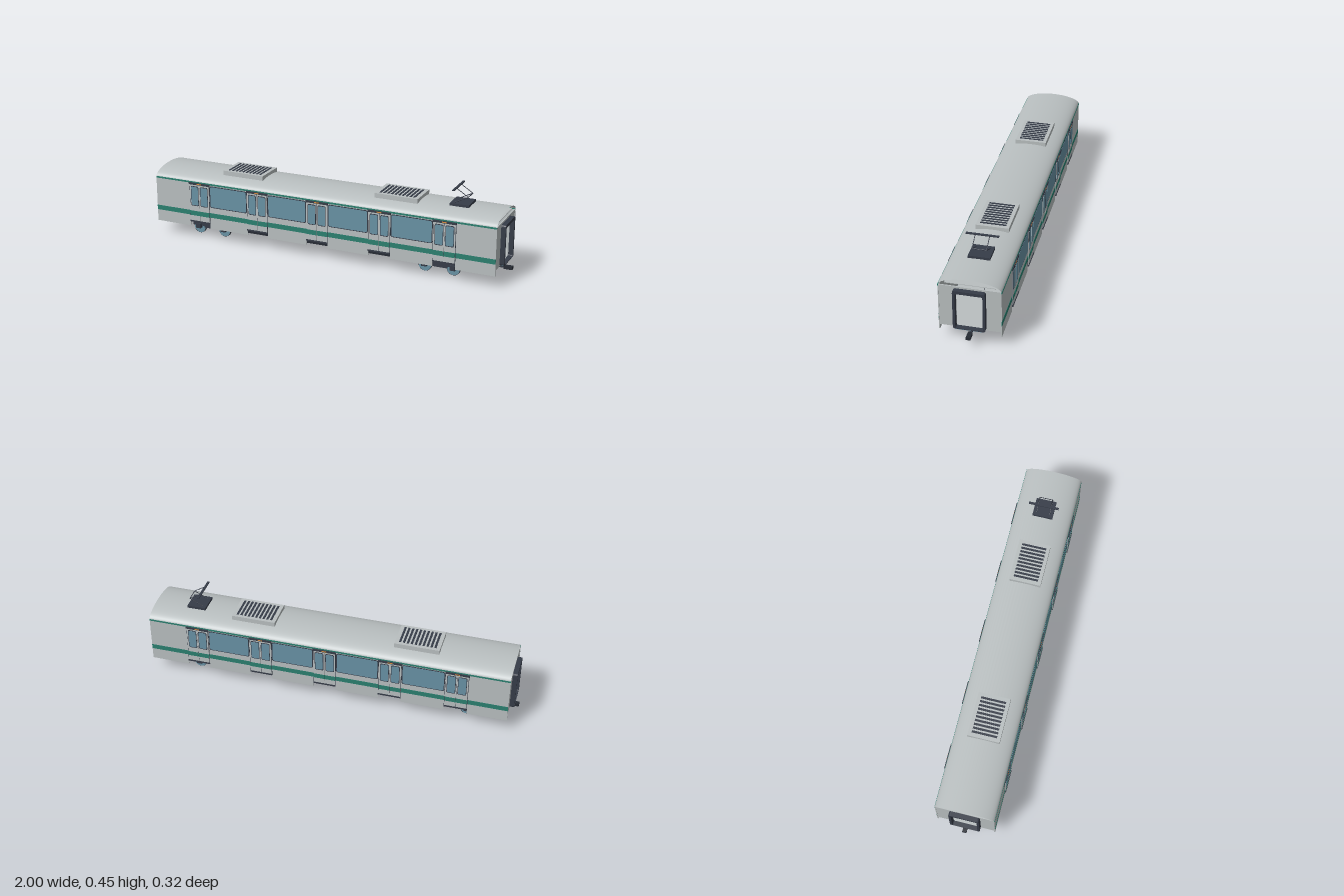
import * as THREE from 'three';

const mat = (name, color, side = THREE.FrontSide) => {
  const m = new THREE.MeshStandardMaterial({ color, side });
  m.name = name;
  return m;
};

// Rounded rectangle outline given by its corners
function roundRect(x0, y0, x1, y1, r, path = new THREE.Shape()) {
  path.moveTo(x0 + r, y0);
  path.lineTo(x1 - r, y0);
  path.quadraticCurveTo(x1, y0, x1, y0 + r);
  path.lineTo(x1, y1 - r);
  path.quadraticCurveTo(x1, y1, x1 - r, y1);
  path.lineTo(x0 + r, y1);
  path.quadraticCurveTo(x0, y1, x0, y1 - r);
  path.lineTo(x0, y0 + r);
  path.quadraticCurveTo(x0, y0, x0 + r, y0);
  return path;
}

export function createModel() {
  const car = new THREE.Group();
  car.name = 'railCar';
  const silver = mat('silver body', 0xb9bfc0);
  const silverShell = mat('silver roof shell', 0xb9bfc0, THREE.DoubleSide);
  const green = mat('green stripe', 0x2b8070);
  const glass = mat('blue glass', 0x6892a5);
  const dark = mat('dark trim', 0x363c48);
  const black = mat('black underframe', 0x262b34);
  const orange = mat('orange lamp', 0xd98f3c);

  const add = (name, geometry, material, parent = car) => {
    const mesh = new THREE.Mesh(geometry, material);
    mesh.name = name;
    parent.add(mesh);
    return mesh;
  };
  // Box given by its extents
  const box = (name, m, x0, x1, y0, y1, z0, z1, parent) => {
    const mesh = add(name, new THREE.BoxGeometry(x1 - x0, y1 - y0, z1 - z0), m, parent);
    mesh.position.set((x0 + x1) / 2, (y0 + y1) / 2, (z0 + z1) / 2);
    return mesh;
  };
  // Plate facing outward on side s, from depth z0 to z1
  const plate = (name, shape, m, s, z0, z1) => {
    const g = new THREE.ExtrudeGeometry(shape, { depth: z1 - z0, bevelEnabled: false, curveSegments: 4 });
    add(name, g, m).position.z = s > 0 ? z0 : -z1;
  };
  const sideBox = (name, m, s, x0, x1, y0, y1, z0, z1) =>
    box(name, m, x0, x1, y0, y1, s > 0 ? z0 : -z1, s > 0 ? z1 : -z0);
  // Round bar between two points
  const bar = (name, a, b, r, m) => {
    const p = new THREE.Vector3(...a), q = new THREE.Vector3(...b);
    const mesh = add(name, new THREE.CylinderGeometry(r, r, p.distanceTo(q), 8), m);
    mesh.position.copy(p).add(q).multiplyScalar(0.5);
    mesh.quaternion.setFromUnitVectors(new THREE.Vector3(0, 1, 0), q.sub(p).normalize());
  };

  const X0 = -0.962, X1 = 0.956;
  const doors = [-0.695, -0.349, -0.003, 0.343, 0.69];

  // Curved roof, an open shell
  const arc = (t) => [0.315 + 0.047 * Math.sin(t), 0.153 * Math.cos(t)];
  const roof = new THREE.PlaneGeometry(1, 1, 1, 28);
  const p = roof.attributes.position;
  for (let i = 0; i < p.count; i++) {
    const [y, z] = arc((p.getY(i) + 0.5) * Math.PI);
    p.setXYZ(i, p.getX(i) < 0 ? X0 : X1, y, z);
  }
  roof.computeVertexNormals();
  add('roof', roof, silverShell);

  // Floor, ceiling, ceiling lamps and aisle poles
  box('floor', silver, X0 + 0.003, X1 - 0.003, 0.09, 0.098, -0.148, 0.148);
  box('ceiling', silver, X0 + 0.01, X1 - 0.01, 0.326, 0.329, -0.122, 0.122);
  for (const z of [-0.06, 0.06]) box('ceilingLamp', silver, -0.9, 0.9, 0.322, 0.326, z - 0.007, z + 0.007);
  for (const x of doors) bar('aislePole', [x, 0.098, 0], [x, 0.326, 0], 0.0014, dark);

  for (const s of [1, -1]) {
    // Side wall with the skirt cut away below each door
    const wall = new THREE.Shape();
    wall.moveTo(X0, 0.315);
    wall.lineTo(X0, 0.065);
    for (const x of doors) {
      wall.lineTo(x - 0.06, 0.065);
      wall.lineTo(x - 0.06, 0.092);
      wall.lineTo(x + 0.06, 0.092);
      wall.lineTo(x + 0.06, 0.065);
    }
    wall.lineTo(X1, 0.065);
    wall.lineTo(X1, 0.315);
    plate('sideWall', wall, silver, s, 0.147, 0.152);
    sideBox('eaveStripe', green, s, X0, X1, 0.31, 0.319, 0.15, 0.1535);
    sideBox('waistStripe', green, s, X0, X1, 0.128, 0.154, 0.15, 0.1532);

    for (const x of doors) {
      // Sliding doors with their windows and stripe
      sideBox('doorRecess', dark, s, x - 0.06, x + 0.06, 0.098, 0.306, 0.151, 0.1536);
      for (const k of [-1, 1]) {
        const c = x + k * 0.0292;
        sideBox('doorLeaf', silver, s, c - 0.0284, c + 0.0284, 0.098, 0.304, 0.152, 0.156);
        sideBox('doorStripe', green, s, c - 0.0284, c + 0.0284, 0.128, 0.154, 0.155, 0.1566);
        const w = c - k * 0.001;
        plate('doorWindowFrame', roundRect(w - 0.023, 0.183, w + 0.023, 0.294, 0.008), dark, s, 0.155, 0.1566);
        plate('doorWindow', roundRect(w - 0.02, 0.187, w + 0.02, 0.29, 0.007), glass, s, 0.155, 0.1574);
      }
      sideBox('doorHeader', dark, s, x - 0.062, x + 0.062, 0.302, 0.313, 0.15, 0.158);
      sideBox('doorLamp', orange, s, x - 0.013, x + 0.013, 0.305, 0.31, 0.155, 0.1588);
      sideBox('doorSill', dark, s, x - 0.06, x + 0.06, 0.091, 0.099, 0.145, 0.158);
    }
    // Large windows between the doors
    for (let i = 0; i < 4; i++) {
      const c = (doors[i] + doors[i + 1]) / 2;
      plate('windowFrame', roundRect(c - 0.111, 0.185, c + 0.111, 0.306, 0.012), dark, s, 0.15, 0.1535);
      plate('window', roundRect(c - 0.107, 0.189, c + 0.107, 0.302, 0.01), glass, s, 0.15, 0.1545);
    }
  }

  // End walls with open gangways and couplers
  for (const [x, s] of [[X0, -1], [X1, 1]]) {
    const endPlate = (name, shape, m, a, b) => {
      const g = new THREE.ExtrudeGeometry(shape, { depth: b - a, bevelEnabled: false, curveSegments: 4 });
      g.rotateY(Math.PI / 2);
      add(name, g, m).position.x = s > 0 ? x + a : x - b;
    };
    const wall = roundRect(-0.152, 0.09, 0.152, 0.317, 0.005);
    wall.holes.push(roundRect(-0.066, 0.098, 0.066, 0.292, 0.004, new THREE.Path()));
    endPlate('endWall', wall, silver, -0.008, -0.002);
    const frame = roundRect(-0.078, 0.094, 0.078, 0.308, 0.012);
    frame.holes.push(roundRect(-0.066, 0.098, 0.066, 0.292, 0.006, new THREE.Path()));
    endPlate('gangwayFrame', frame, dark, -0.004, 0.022);
    box('gangwaySill', glass, ...(s > 0 ? [x, x + 0.02] : [x - 0.02, x]), 0.091, 0.095, -0.066, 0.066);
    const inner = s * 0.85, outer = s * 0.965;
    box('couplerBar', dark, Math.min(inner, outer), Math.max(inner, outer), 0.057, 0.066, -0.007, 0.007);
    box('couplerHead', black, s > 0 ? 0.955 : -1, s > 0 ? 1 : -0.955, 0.053, 0.069, -0.011, 0.011);
    box('couplerMount', dark, s * 0.86 - 0.02, s * 0.86 + 0.02, 0.06, 0.091, -0.02, 0.02);
  }

  // Underfloor equipment
  box('underfloorCase', black, -0.475, 0.435, 0.047, 0.09, -0.083, 0.083);

  // Bogies
  for (const cx of [-0.668, 0.64]) {
    const bogie = new THREE.Group();
    bogie.name = 'bogie';
    bogie.position.x = cx;
    car.add(bogie);
    box('bolster', dark, -0.045, 0.045, 0.035, 0.083, -0.083, 0.083, bogie);
    box('crossFrame', dark, -0.1, 0.1, 0.04, 0.064, -0.06, 0.06, bogie);
    for (const s of [-1, 1]) {
      box('sideFrame', dark, -0.11, 0.11, 0.046, 0.064, s * 0.083 - 0.005, s * 0.083 + 0.005, bogie);
      box('airSpring', black, -0.025, 0.025, 0.06, 0.09, s * 0.062 - 0.016, s * 0.062 + 0.016, bogie);
    }
    for (const wx of [-0.076, 0.076]) {
      const round = (name, m, r, z, len, n = 28) => {
        const g = new THREE.CylinderGeometry(r, r, len, n);
        g.rotateX(Math.PI / 2);
        add(name, g, m, bogie).position.set(wx, 0.035, z);
      };
      round('axle', dark, 0.007, 0, 0.17, 12);
      for (const s of [-1, 1]) {
        round('tyre', black, 0.035, s * 0.069, 0.012);
        round('wheelDisc', glass, 0.0335, s * 0.069, 0.0136);
        box('axleBox', dark, wx - 0.014, wx + 0.014, 0.032, 0.058, s * 0.087 - 0.01, s * 0.087 + 0.01, bogie);
      }
    }
  }

  // Roof ventilation units with slatted grilles
  for (const cx of [-0.467, 0.402]) {
    box('ventUnit', silver, cx - 0.117, cx + 0.117, 0.352, 0.379, -0.083, 0.083);
    for (let i = 0; i < 10; i++) {
      const x = cx + (i - 4.5) * 0.0203;
      box('ventSlat', dark, x - 0.0055, x + 0.0055, 0.377, 0.3805, -0.065, 0.065);
    }
  }

  // Pantograph
  box('pantographBase', dark, 0.677, 0.777, 0.361, 0.374, -0.054, 0.054);
  for (const z of [-0.035, 0.035]) {
    bar('lowerArm', [0.697, 0.374, z], [0.767, 0.41, z], 0.0022, dark);
    bar('upperArm', [0.767, 0.41, z], [0.703, 0.45, z], 0.002, dark);
  }
  bar('armHinge', [0.767, 0.41, -0.036], [0.767, 0.41, 0.036], 0.002, dark);
  box('contactStrip', dark, 0.697, 0.709, 0.448, 0.453, -0.08, 0.08);
  return car;
}
